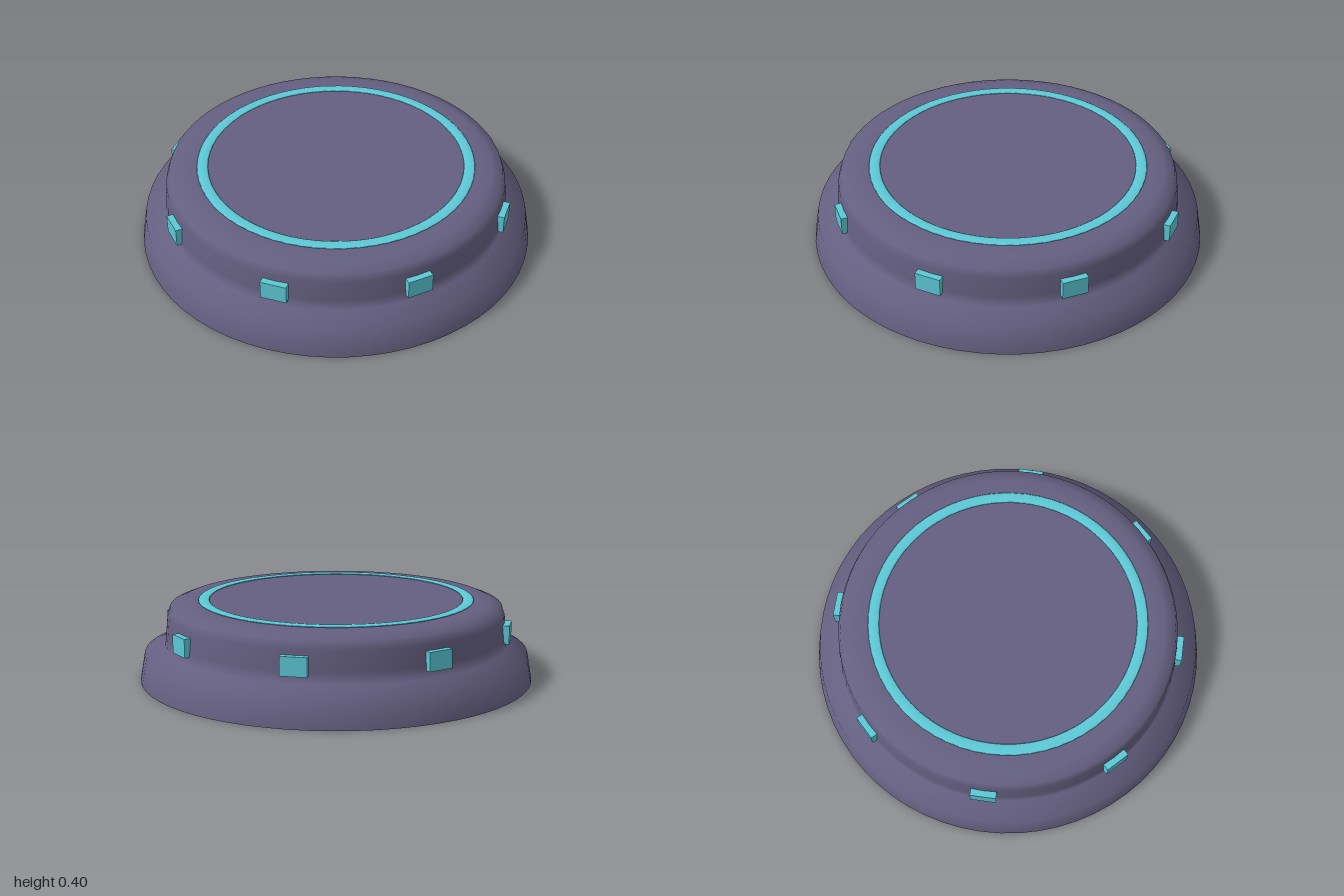
import * as THREE from 'three';

export function createModel() {
  const model = new THREE.Group();
  model.name = 'domedCap';

  const shellMat = new THREE.MeshStandardMaterial({ color: 0x645f80, side: THREE.DoubleSide });
  shellMat.name = 'duskyPurple';
  const glowMat = new THREE.MeshStandardMaterial({ color: 0x5cc9d6 });
  glowMat.name = 'turquoise';

  // Open-bottomed shell: sloped skirt, ledge, upper wall, rounded rim, flat lid
  const profile = [
    [1, 0], [0.975, 0.14], [0.872, 0.174], [0.866, 0.23], [0.856, 0.33],
    [0.842, 0.37], [0.785, 0.392], [0.72, 0.3945], [0, 0.3945],
  ].map(([r, y]) => new THREE.Vector2(r, y));
  const shell = new THREE.Mesh(new THREE.LatheGeometry(profile, 64), shellMat);
  shell.name = 'shell';
  model.add(shell);

  // Flattened ring resting on the lid
  const ringGeo = new THREE.TorusGeometry(0.672, 0.028, 12, 64);
  ringGeo.rotateX(Math.PI / 2);
  ringGeo.scale(1, 0.18, 1);
  const ring = new THREE.Mesh(ringGeo, glowMat);
  ring.name = 'lidRing';
  ring.position.y = 0.399;
  model.add(ring);

  // Eight lamps set through the upper wall
  const lamps = new THREE.Group();
  lamps.name = 'lamps';
  const lampGeo = new THREE.BoxGeometry(0.128, 0.092, 0.045);
  for (let i = 0; i < 8; i++) {
    const a = (i * Math.PI) / 4;
    const lamp = new THREE.Mesh(lampGeo, glowMat);
    lamp.name = 'lamp';
    lamp.position.set(Math.sin(a) * 0.867, 0.257, Math.cos(a) * 0.867);
    lamp.rotation.y = a;
    lamps.add(lamp);
  }
  model.add(lamps);

  return model;
}
